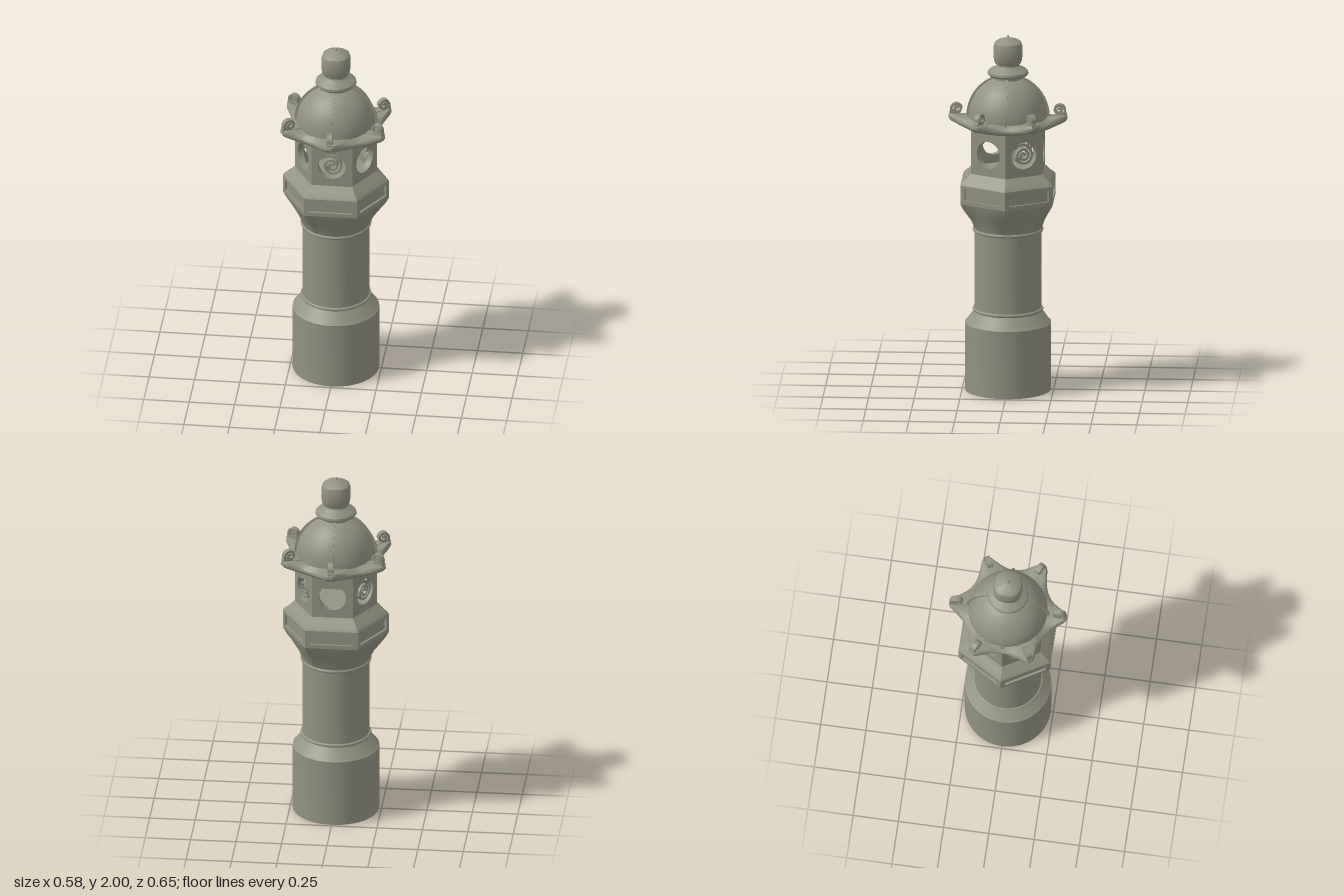
import * as THREE from 'three';
import { toCreasedNormals } from 'three/addons/utils/BufferGeometryUtils.js';

const stone = new THREE.MeshStandardMaterial({ color: 0x929282 });
stone.name = 'mossy stone';
const SIXTH = Math.PI / 3;

function part(name, geometry, parent) {
  const mesh = new THREE.Mesh(toCreasedNormals(geometry, 0.6), stone);
  mesh.name = name;
  parent.add(mesh);
  return mesh;
}

// Round part from [radius, height] pairs, bottom to top
const turned = (pts, sides = 48) =>
  new THREE.LatheGeometry(pts.map(([r, y]) => new THREE.Vector2(r, y)), sides);

// Skin over closed rings; each ring is a function angle -> [radius, height]
function loft(rings, n = 96) {
  const pos = [], index = [];
  rings.forEach((ring, j) => {
    for (let i = 0; i < n; i++) {
      const a = (i / n) * Math.PI * 2, [r, y] = ring(a);
      pos.push(Math.cos(a) * r, y, Math.sin(a) * r);
      if (j === rings.length - 1) continue;
      const p = j * n + i, q = j * n + (i + 1) % n;
      index.push(p, p + n, q, q, p + n, q + n);
    }
  });
  const g = new THREE.BufferGeometry();
  g.setAttribute('position', new THREE.Float32BufferAttribute(pos, 3));
  g.setIndex(index);
  return g;
}

// Ring between a circle (k = 0) and a hexagon (k = 1), r is the flat-side radius
const hexRing = (r, y, k) => (a) => {
  const hex = r / Math.cos((a % SIXTH) - SIXTH / 2);
  return [r + (hex - r) * k, y];
};

// Flat spiral band following radius(t)
function spiralShape(radius, start, turns, width, n = 64) {
  const outer = [], inner = [];
  for (let i = 0; i <= n; i++) {
    const a = start + (i / n) * turns * Math.PI * 2, r = radius(i / n);
    const at = (d) => new THREE.Vector2(Math.cos(a) * (r + d), Math.sin(a) * (r + d));
    outer.push(at(width / 2));
    inner.unshift(at(-width / 2));
  }
  return new THREE.Shape([...outer, ...inner]);
}

function rectShape(w, y0, y1) {
  return new THREE.Shape([[-w, y0], [w, y0], [w, y1], [-w, y1]].map(([x, y]) => new THREE.Vector2(x, y)));
}

const extrude = (shape, depth) =>
  new THREE.ExtrudeGeometry(shape, { depth, bevelEnabled: false, curveSegments: 32 });

export function createModel() {
  const model = new THREE.Group();
  model.name = 'stoneLantern';

  // Pedestal, shaft and its two rings
  part('base', turned([[0, 0], [0.237, 0], [0.237, 0.38], [0.228, 0.388], [0.19, 0.44], [0.18, 0.45], [0, 0.45]]), model);
  part('shaft', turned([[0.183, 0.44], [0.183, 0.92]]), model);
  for (const y of [0.455, 0.905]) {
    const ring = part('shaftRing', new THREE.TorusGeometry(0.184, 0.01, 10, 48), model);
    ring.rotation.x = Math.PI / 2;
    ring.position.y = y;
  }

  // Bowl: round below, hexagonal above
  const A = 0.253, recess = 0.012;
  part('bowl', loft([
    hexRing(0, 0.912, 0), hexRing(0.186, 0.912, 0), hexRing(0.202, 0.96, 0.3),
    hexRing(0.222, 1.0, 0.6), hexRing(0.241, 1.04, 0.85), hexRing(A, 1.075, 1),
    hexRing(A - recess, 1.075, 1),
  ]), model);
  part('bandCore', loft([hexRing(A - recess, 1.07, 1), hexRing(A - recess, 1.19, 1)]), model);
  part('platform', loft([
    hexRing(A - recess, 1.18, 1), hexRing(A, 1.18, 1), hexRing(0.246, 1.193, 1),
    hexRing(0.222, 1.213, 1), hexRing(0.198, 1.24, 1), hexRing(0, 1.24, 1),
  ]), model);

  // Six sides: framed recess on the band, pierced wall above
  const W = 0.196, side = Math.tan(SIXTH / 2);
  const frame = rectShape(A * side, 1.075, 1.18);
  frame.holes.push(rectShape(0.12, 1.098, 1.165));
  const wall = rectShape(W * side, 1.22, 1.5);
  wall.holes.push(new THREE.Path().absarc(0, 1.36, 0.075, 0, Math.PI * 2, true));
  const swirl = spiralShape((t) => 0.008 + 0.05 * t + 0.014 * t ** 14, 0, 2.4, 0.012, 90);
  for (let i = 0; i < 6; i++) {
    const face = new THREE.Group();
    face.name = 'lanternSide';
    face.rotation.y = i * SIXTH;
    part('bandFrame', extrude(frame, recess), face).position.z = A - recess;
    part('chamberWall', extrude(wall, 0.035), face).position.z = W - 0.035;
    if (i % 2 === 0) part('windowSwirl', extrude(swirl, 0.025), face).position.set(0, 1.36, W - 0.03);
    model.add(face);
  }

  // Six-pointed eaves with raised tips
  const tip = (a) => {
    const t = Math.abs(((a % SIXTH) * 180) / Math.PI - 30); // degrees from the nearest point
    return Math.min(1, ((30 - t) / 26.5) ** 2.3);
  };
  const eave = (inset, y, lift) => (a) => [0.245 + 0.081 * tip(a) - inset, y + lift * tip(a)];
  part('eaves', loft([
    () => [0, 1.482], () => [0.17, 1.48], eave(0.03, 1.482, 0.025), eave(0.01, 1.488, 0.03),
    eave(0, 1.502, 0.03), eave(0.001, 1.514, 0.033), eave(0.012, 1.526, 0.03),
    () => [0.212, 1.543], () => [0, 1.543],
  ], 144), model);

  // Curled scroll on every point
  const curl = spiralShape((t) => 0.037 - 0.032 * t, -1.9, 1.75, 0.013);
  for (let i = 0; i < 6; i++) {
    const arm = new THREE.Group();
    arm.name = 'eaveScroll';
    arm.rotation.y = (i + 0.5) * SIXTH;
    part('scroll', extrude(curl, 0.03), arm).position.set(0.28, 1.58, -0.015);
    // Ridge leading from the roof into the scroll
    const ridge = new THREE.Shape();
    ridge.moveTo(0.2, 1.51);
    ridge.lineTo(0.32, 1.53);
    ridge.quadraticCurveTo(0.326, 1.565, 0.312, 1.575);
    ridge.quadraticCurveTo(0.29, 1.545, 0.2, 1.55);
    part('ridge', extrude(ridge, 0.03), arm).position.z = -0.015;
    model.add(arm);
  }

  // Dome with four ribs
  const arc = (r, h, n = 20) => Array.from({ length: n + 1 }, (_, i) => {
    const a = (i / n) * 1.35;
    return [r * Math.cos(a), 1.535 + h * Math.sin(a)];
  });
  part('dome', turned(arc(0.217, 0.235), 64), model);
  const rib = new THREE.Shape([...arc(0.229, 0.243), ...arc(0.21, 0.228).reverse()].map(([x, y]) => new THREE.Vector2(x, y)));
  for (let i = 0; i < 4; i++) {
    const g = extrude(rib, 0.012);
    g.translate(0, 0, -0.006);
    part('domeRib', g, model).rotation.y = (i * Math.PI) / 2;
  }

  // Collar and rounded finial
  part('collar', turned([
    [0, 1.75], [0.078, 1.75], [0.078, 1.772], [0.104, 1.773], [0.112, 1.783], [0.11, 1.796],
    [0.098, 1.808], [0.07, 1.82], [0.062, 1.828], [0.06, 1.845], [0, 1.845],
  ], 32), model);
  const finial = turned([
    [0, 1.832], [0.055, 1.834], [0.07, 1.843], [0.077, 1.86], [0.08, 1.9], [0.079, 1.935],
    [0.073, 1.956], [0.055, 1.97], [0.025, 1.979], [0.008, 1.985], [0.005, 1.994], [0, 2],
  ], 32);
  // Slightly squared plan
  const p = finial.attributes.position;
  for (let i = 0; i < p.count; i++) {
    const x = p.getX(i), z = p.getZ(i), r = Math.hypot(x, z);
    if (r < 1e-5) continue;
    const s = (Math.abs(x / r) ** 2.5 + Math.abs(z / r) ** 2.5) ** (-1 / 2.5);
    p.setXYZ(i, x * s, p.getY(i), z * s);
  }
  part('finial', finial, model);

  return model;
}
